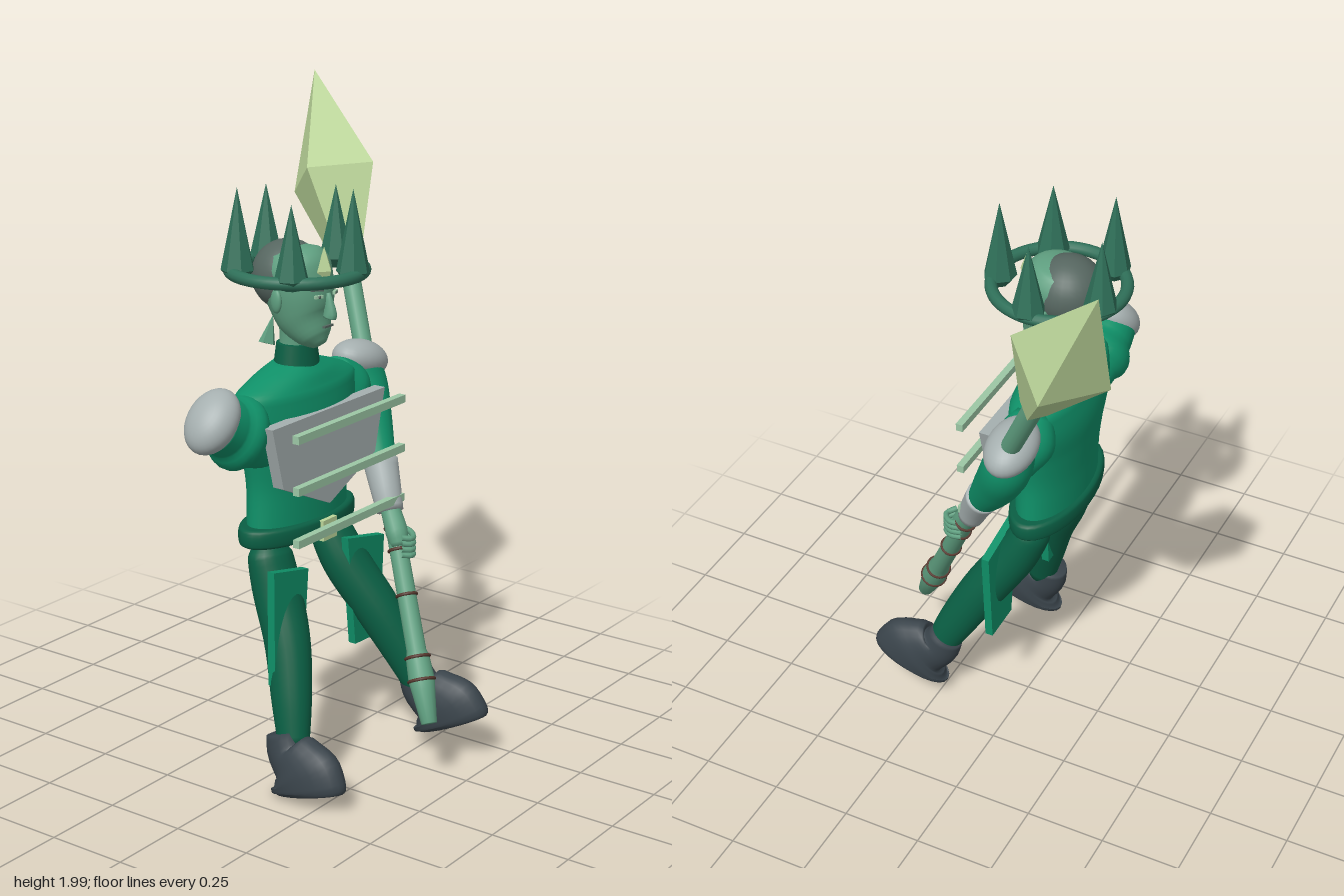
import * as THREE from 'three';

const mat = (name, color) => Object.assign(new THREE.MeshStandardMaterial({ color }), { name });

export function createModel() {
  const model = new THREE.Group();
  const tunic = mat('tunic green', 0x0f9068), dark = mat('dark green', 0x0a5f44),
    crownMat = mat('crown green', 0x2f7059), skin = mat('skin green', 0x5f9f80),
    pale = mat('pale gold', 0xbcd69a), steel = mat('steel', 0xa5afaf), leather = mat('boot slate', 0x3a444b),
    trim = mat('trim green', 0x9cc7a5), brown = mat('brown', 0x57392f), hairMat = mat('hair grey', 0x566660);

  function add(name, geo, material, pos = [0, 0, 0], rot = [0, 0, 0], scale = [1, 1, 1], parent = model) {
    const m = new THREE.Mesh(geo, material);
    m.name = name;
    m.position.set(...pos);
    m.rotation.set(...rot);
    m.scale.set(...scale);
    parent.add(m);
    return m;
  }
  function flat(geo) {
    const g = geo.toNonIndexed();
    g.computeVertexNormals();
    return g;
  }
  // Skin through elliptical sections [x, y, z, rx, rz], listed from bottom to top
  function loft(sections, steps = 18, seg = 24) {
    const mid = new THREE.CatmullRomCurve3(sections.map(s => new THREE.Vector3(s[0], s[1], s[2])));
    const rad = new THREE.CatmullRomCurve3(sections.map(s => new THREE.Vector3(s[3], s[4], 0)));
    const pos = [], idx = [], up = new THREE.Vector3(0, 1, 0), q = new THREE.Quaternion();
    for (let i = 0; i <= steps; i++) {
      const t = i / steps, c = mid.getPoint(t), r = rad.getPoint(t);
      q.setFromUnitVectors(up, mid.getTangent(t));
      for (let j = 0; j < seg; j++) {
        const a = j / seg * Math.PI * 2;
        const v = new THREE.Vector3(Math.cos(a) * r.x, 0, Math.sin(a) * r.y).applyQuaternion(q).add(c);
        pos.push(v.x, v.y, v.z);
        const k = i * seg + j, n = i * seg + (j + 1) % seg;
        if (i < steps) idx.push(k, k + seg, n, n, k + seg, n + seg);
      }
    }
    const end = (steps + 1) * seg, last = steps * seg;
    pos.push(...sections[0].slice(0, 3), ...sections.at(-1).slice(0, 3));
    for (let j = 0; j < seg; j++) {
      const n = (j + 1) % seg;
      idx.push(end, j, n, end + 1, last + n, last + j);
    }
    const g = new THREE.BufferGeometry();
    g.setAttribute('position', new THREE.Float32BufferAttribute(pos, 3));
    g.setIndex(idx);
    g.computeVertexNormals();
    return g;
  }
  // Plate cut from an outline in the front plane
  function plate(points, depth) {
    const shape = new THREE.Shape(points.map(p => new THREE.Vector2(...p)));
    return new THREE.ExtrudeGeometry(shape, { depth, bevelEnabled: false });
  }
  const ball = new THREE.SphereGeometry(1, 28, 20);
  const CX = -0.12;

  // Torso, collar and belt
  add('torso', loft([[CX, .77, -.04, .215, .095], [CX, .9, -.04, .21, .1], [CX, 1.02, -.04, .228, .112],
    [CX, 1.12, -.045, .258, .115], [CX, 1.19, -.045, .262, .105], [CX, 1.235, -.045, .165, .085],
    [CX, 1.265, -.045, .07, .06]], 30, 36), tunic);
  add('collar', new THREE.CylinderGeometry(.066, .078, .085, 28), dark, [CX, 1.277, -.04], [0, 0, 0], [1, 1, .85]);
  add('belt', loft([[CX, .742, -.04, .238, .102], [CX, .748, -.04, .247, .11], [CX, .77, -.04, .25, .112],
    [CX, .793, -.04, .247, .11], [CX, .8, -.04, .235, .1]], 10, 36), dark);
  add('torsoUnderside', new THREE.CircleGeometry(1, 36), brown, [CX, .739, -.04], [Math.PI / 2, 0, 0], [.235, .1, 1]);
  add('buckle', new THREE.BoxGeometry(.066, .064, .02), pale, [CX, .763, .072]);

  // Chest plate and the three bars held in front of it
  add('chestPlate', plate([[-.395, 1.135], [-.345, .945], [CX, .843], [.11, .945], [.16, 1.135]], .038), steel, [0, 0, .043]);
  for (const y of [1.117, .963, .806])
    add('chestBar', new THREE.BoxGeometry(.53, .024, .022), trim, [CX, y, .155]);

  // Head
  add('neck', loft([[CX, 1.27, -.045, .052, .05], [CX, 1.33, -.04, .05, .05], [CX, 1.4, -.04, .055, .055]], 6), skin);
  add('face', loft([[CX, 1.322, .045, .022, .022], [CX, 1.345, .028, .055, .05], [CX, 1.4, -.008, .085, .085],
    [CX, 1.47, -.028, .1, .105], [CX, 1.535, -.045, .103, .11], [CX, 1.585, -.06, .08, .085],
    [CX, 1.61, -.065, .02, .02]], 24, 28), skin);
  add('hair', ball, hairMat, [CX, 1.515, -.07], [0, 0, 0], [.107, .106, .109]);
  add('nose', loft([[CX, 1.408, .08, .018, .022], [CX, 1.42, .082, .016, .022], [CX, 1.48, .072, .007, .01]], 6, 8), skin);
  add('mouth', new THREE.BoxGeometry(.042, .006, .008), hairMat, [CX, 1.382, .074]);
  for (const s of [-1, 1]) {
    add('eye', new THREE.BoxGeometry(.028, .009, .008), trim, [CX + s * .04, 1.475, .07], [0, s * .35, 0]);
    add('pupil', ball, hairMat, [CX + s * .04, 1.475, .074], [0, 0, 0], [.005, .005, .003]);
    add('brow', new THREE.BoxGeometry(.042, .008, .009), hairMat, [CX + s * .043, 1.496, .066], [0, s * .35, s * .1]);
    add('ear', ball, skin, [CX + s * .103, 1.46, -.035], [0, s * .3, 0], [.012, .036, .022]);
    add('neckFlap', flat(new THREE.ConeGeometry(.032, .085, 5)), skin, [CX + s * .075, 1.365, -.08], [0, 0, s * .35], [1, 1, .7]);
  }
  add('foreheadGem', flat(new THREE.OctahedronGeometry(1)), pale, [CX, 1.545, .06], [0, 0, 0], [.034, .07, .025]);

  // Crown: ring with five spikes
  const crown = new THREE.Group();
  crown.name = 'crown';
  crown.position.set(-.11, 1.533, -.045);
  model.add(crown);
  add('crownRing', new THREE.TorusGeometry(.197, .019, 12, 48), crownMat, [0, 0, 0], [Math.PI / 2, 0, 0], [1, 1, 1], crown);
  for (let i = 0; i < 5; i++) {
    const a = (i * 72 + 76) * Math.PI / 180, h = i === 0 || i === 2 ? .24 : .215;
    const x = Math.cos(a) * .175, z = Math.sin(a) * .175;
    add('crownSpike', flat(new THREE.ConeGeometry(.05, h, 7)), crownMat, [x, h / 2 + .008, z], [0, i, 0], [1, 1, 1], crown);
    add('spikeFoot', flat(new THREE.CylinderGeometry(.05, .025, .03, 7)), crownMat, [x, -.007, z], [0, i, 0], [1, 1, 1], crown);
  }

  // Left arm reaching down to the spear
  add('leftSleeve', loft([[.15, .885, .075, .048, .048], [.19, .99, .01, .066, .068], [.225, 1.1, -.045, .08, .075],
    [.225, 1.18, -.065, .07, .065]]), tunic);
  add('leftShoulderJoin', loft([[.17, 1.04, -.04, .05, .05], [.12, 1.12, -.05, .09, .09], [.06, 1.18, -.05, .06, .06]], 10), tunic);
  add('leftShoulderPad', ball, steel, [.235, 1.185, -.065], [0, 0, -.3], [.108, .06, .076]);
  add('leftBracer', loft([[.108, .765, .14, .041, .041], [.125, .825, .112, .047, .047], [.155, .9, .07, .054, .054]], 8), steel);
  add('leftPalm', loft([[.07, .675, .2, .022, .025], [.085, .715, .18, .034, .034], [.108, .775, .14, .03, .03]], 8, 14), skin);
  for (let i = 0; i < 4; i++) {
    const y = .725 - i * .018;
    const path = new THREE.CatmullRomCurve3([[.115, y, .17], [.11, y - .01, .215], [.075, y - .015, .245], [.045, y - .01, .225]]
      .map(p => new THREE.Vector3(...p)));
    add('finger', new THREE.TubeGeometry(path, 10, .009, 8), skin);
  }

  // Right arm, raised sideways and folded into the chest
  add('rightSleeve', loft([[-.26, 1.03, -.03, .065, .065], [-.36, 1.085, -.04, .088, .082], [-.44, 1.13, -.045, .088, .082],
    [-.5, 1.16, -.045, .08, .075]]), tunic);
  add('rightShoulderPad', ball, steel, [-.508, 1.167, -.045], [0, 0, .84], [.103, .062, .08]);

  // Legs, boots and hip panels
  add('rightLeg', loft([[-.375, .17, .135, .045, .048], [-.345, .3, .105, .058, .062], [-.305, .46, .06, .068, .07],
    [-.275, .6, .0, .077, .07], [-.268, .7, -.03, .076, .06], [-.265, .73, -.036, .055, .045]], 24), dark);
  add('leftLeg', loft([[.125, .21, .25, .045, .048], [.11, .3, .205, .055, .06], [.075, .46, .115, .07, .07],
    [.04, .6, .025, .075, .07], [.025, .7, -.025, .07, .06], [.02, .73, -.036, .055, .045]], 24), dark);
  const bootGeo = loft([[0, .0, .055, .052, .122], [0, .015, .055, .064, .137], [0, .05, .05, .067, .135],
    [0, .09, .03, .062, .105], [0, .125, .0, .056, .07], [0, .185, -.005, .052, .054]], 20);
  add('rightBoot', bootGeo, leather, [-.395, .03, .155], [-.26, -.03, -.08]);
  add('leftBoot', bootGeo, leather, [.138, .088, .305], [-.42, .08, .06]);
  add('rightHipPanel', plate([[-.385, .7], [-.385, .345], [-.25, .34], [-.22, .665]], .025), tunic, [0, 0, .05]);
  add('leftHipPanel', plate([[-.02, .7], [.02, .345], [.15, .34], [.17, .66]], .025), tunic, [0, 0, .05]);

  // Spear, built upright and then leaned along its axis
  const spear = new THREE.Group();
  spear.name = 'spear';
  const axis = new THREE.Vector3(.635, 1.79, -.89).normalize();
  const side = new THREE.Vector3(-.14, .055, 0).cross(axis).normalize();
  const across = new THREE.Vector3().crossVectors(axis, side);
  spear.quaternion.setFromRotationMatrix(new THREE.Matrix4().makeBasis(across, axis, side));
  spear.position.set(-.085, .21, .42);
  model.add(spear);
  const spearPart = (name, geo, m, y, rot) => add(name, geo, m, [0, y, 0], rot, [1, 1, 1], spear);
  const profile = [[0, 0], [.024, 0], [.036, .1], [.04, .13], [.036, .2], [.03, .22], [.028, .7], [.03, 1.48], [0, 1.48]];
  spearPart('spearShaft', new THREE.LatheGeometry(profile.map(p => new THREE.Vector2(...p)), 16), skin, 0);
  for (const [y, r] of [[.13, .039], [.2, .036], [.39, .03], [.53, .03], [.6, .03]])
    spearPart('spearRing', new THREE.TorusGeometry(r, .005, 8, 24), brown, y, [Math.PI / 2, 0, 0]);
  const blade = [[0, 1.44], [.042, 1.44], [.15, 1.733], [0, 2.097]].map(p => new THREE.Vector2(...p));
  spearPart('spearHead', flat(new THREE.LatheGeometry(blade, 4)), pale, 0);

  return model;
}
